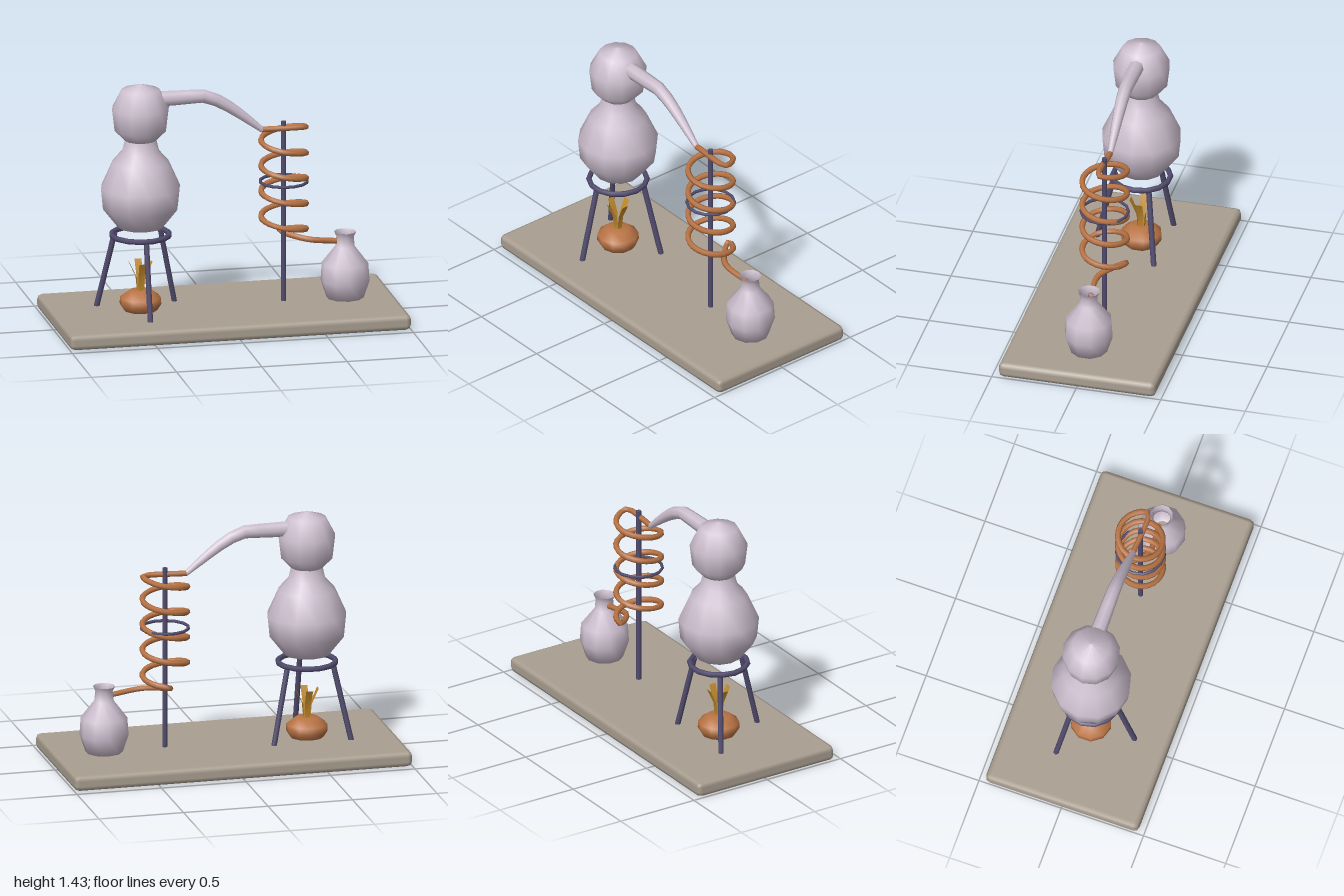
import * as THREE from 'three';
import { RoundedBoxGeometry } from 'three/addons/geometries/RoundedBoxGeometry.js';

const V = (x, y, z) => new THREE.Vector3(x, y, z);

function material(name, color, double = false) {
  const m = new THREE.MeshStandardMaterial({ color });
  m.name = name;
  if (double) m.side = THREE.DoubleSide;
  return m;
}

export function createModel() {
  const root = new THREE.Group();
  root.name = 'distillingApparatus';
  const stone = material('stone', 0xa99e90);
  const glass = material('paleGlass', 0xcdbfcf, true);
  const copper = material('copper', 0xb87344, true);
  const iron = material('darkIron', 0x524c6e);
  const flame = material('flameGold', 0xc08a2c, true);

  const add = (name, geometry, mat, x = 0, y = 0, z = 0) => {
    const mesh = new THREE.Mesh(geometry, mat);
    mesh.name = name;
    mesh.position.set(x, y, z);
    root.add(mesh);
    return mesh;
  };
  const lathe = (points, sides) =>
    new THREE.LatheGeometry(points.map(([r, y]) => new THREE.Vector2(r, y)), sides);
  // Straight rod between two points
  const rod = (name, a, b, r) => {
    const mesh = add(name, new THREE.CylinderGeometry(r, r, a.distanceTo(b), 8), iron);
    mesh.position.copy(a).add(b).multiplyScalar(0.5);
    mesh.quaternion.setFromUnitVectors(V(0, 1, 0), b.clone().sub(a).normalize());
  };
  const ring = (name, r, tube, x, y) =>
    add(name, new THREE.TorusGeometry(r, tube, 6, 14).rotateX(Math.PI / 2), iron, x, y);

  // Base slab with bevelled edges
  add('baseSlab', new RoundedBoxGeometry(2, 0.09, 0.93, 1, 0.03), stone, 0, 0.045);

  // Boiling vessel and its round head
  const bx = -0.49;
  add('boilingVessel', lathe([[0, 0.565], [0.13, 0.585], [0.22, 0.7], [0.232, 0.82],
    [0.165, 0.97], [0.108, 1.035], [0.09, 1.11]], 12), glass, bx);
  add('vesselHead', lathe([[0, 1.08], [0.09, 1.1], [0.152, 1.165], [0.167, 1.29],
    [0.11, 1.4], [0, 1.435]], 12), glass, bx);

  // Tapering spout from the head down to the coil
  const spoutPath = new THREE.CatmullRomCurve3([V(-0.37, 1.338, 0), V(-0.24, 1.338, 0),
    V(-0.11, 1.337, 0), V(0, 1.285, 0), V(0.1, 1.215, 0), V(0.225, 1.115, 0)]);
  const segs = 8, sides = 8;
  const spout = new THREE.TubeGeometry(spoutPath, segs, 1, sides);
  const p = spout.attributes.position, v = new THREE.Vector3();
  for (let i = 0; i < p.count; i++) {
    const t = Math.floor(i / (sides + 1)) / segs;
    const c = spoutPath.getPointAt(t);
    v.fromBufferAttribute(p, i).sub(c).multiplyScalar(0.046 - 0.014 * t - 0.016 * t ** 3).add(c);
    p.setXYZ(i, v.x, v.y, v.z);
  }
  add('spout', spout, glass);

  // Tripod
  ring('tripodRing', 0.167, 0.016, bx, 0.538);
  for (let i = 0; i < 3; i++) {
    const a = Math.PI / 2 + i * Math.PI * 2 / 3, c = Math.cos(a), s = Math.sin(a);
    rod('tripodLeg', V(bx + 0.155 * c, 0.535, 0.155 * s), V(bx + 0.264 * c, 0.085, 0.264 * s), 0.016);
  }

  // Burner bowl and flame blades
  add('burner', lathe([[0, 0.085], [0.095, 0.085], [0.12, 0.125], [0.118, 0.165],
    [0.065, 0.205], [0, 0.207]], 10), copper, bx);
  for (let i = 0; i < 4; i++) {
    const blade = new THREE.PlaneGeometry(1, 1, 1, 2);
    const q = blade.attributes.position;
    const rows = [[0.375, 0.066, 0.042], [0.285, 0.025, 0.036], [0.2, 0.018, 0.026]];
    for (let k = 0; k < q.count; k++) {
      const [y, r, w] = rows[Math.floor(k / 2)];
      q.setXYZ(k, Math.sign(q.getX(k)) * w / 2, y, r);
    }
    blade.computeVertexNormals();
    add('flameBlade', blade, flame, bx).rotation.y = i * Math.PI / 2;
  }

  // Stand pole with its supporting ring
  const cx = 0.35;
  rod('standPole', V(cx, 0.08, 0), V(cx, 1.16, 0), 0.015);
  ring('coilClamp', 0.137, 0.009, cx, 0.803);

  // Condenser coil: inlet bar, helix and outlet as one tube
  const path = [V(0.22, 1.118, 0)];
  for (let i = 0; i <= 51; i++) {
    const t = i / 12, a = t * Math.PI * 2;
    path.push(V(cx + 0.13 * Math.cos(a), 1.118 - 0.151 * t, -0.13 * Math.sin(a)));
  }
  path.push(V(0.48, 0.45, 0), V(0.67, 0.425, 0));
  add('condenserCoil', new THREE.TubeGeometry(new THREE.CatmullRomCurve3(path), 110, 0.017, 6), copper);

  // Open receiving flask
  add('receivingFlask', lathe([[0, 0.088], [0.108, 0.09], [0.141, 0.19], [0.134, 0.295],
    [0.056, 0.395], [0.05, 0.45], [0.064, 0.48]], 10), glass, 0.71);

  return root;
}
